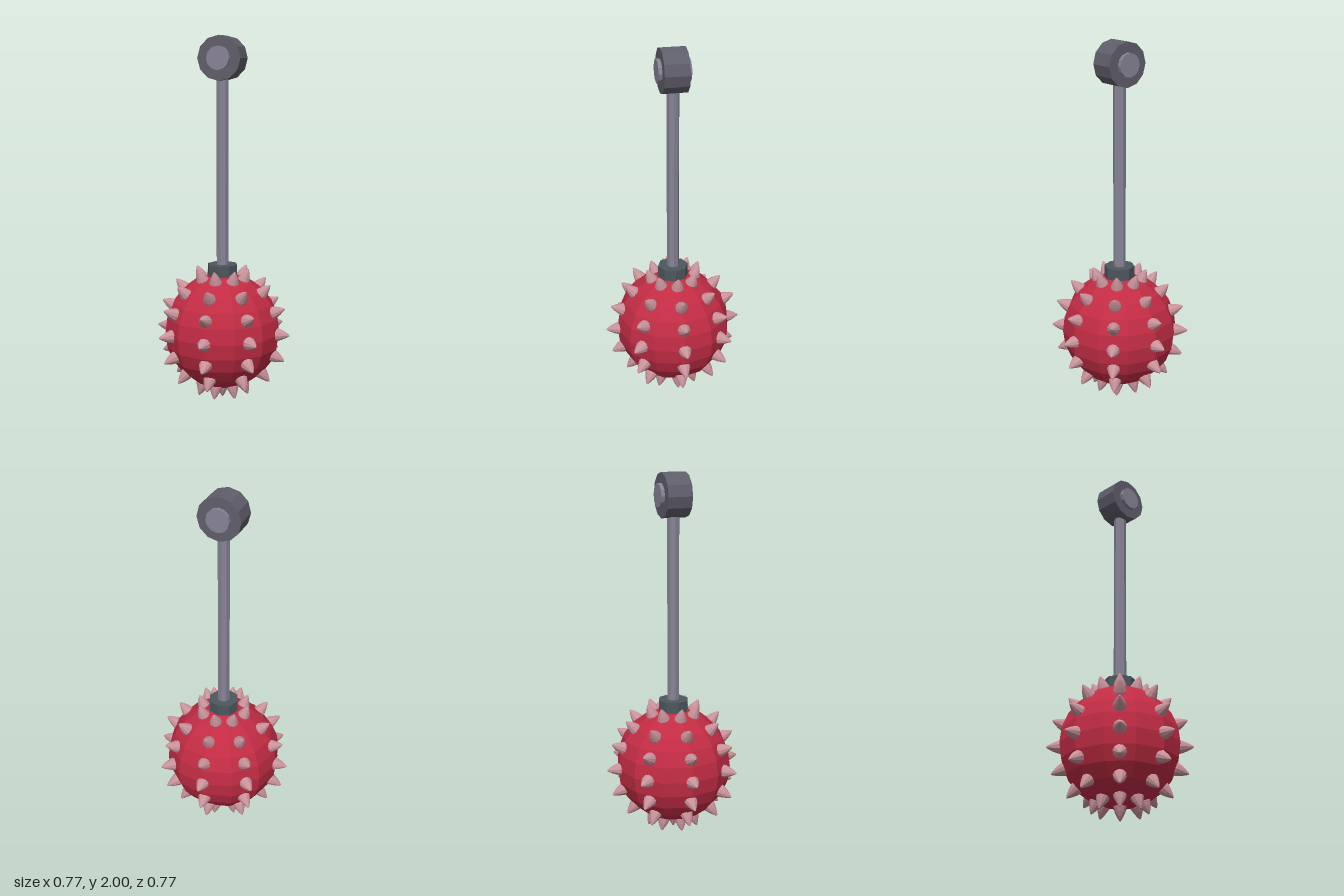
import * as THREE from 'three';

const mat = (name, color, flatShading = true) => {
  const m = new THREE.MeshStandardMaterial({ color, flatShading });
  m.name = name;
  return m;
};

export function createModel() {
  const model = new THREE.Group();
  model.name = 'spikedMace';
  const red = mat('crimson', 0xc22c44);
  const pink = mat('dustyPink', 0xc9929a);
  const iron = mat('darkIron', 0x5f5e6b);
  const steel = mat('paleSteel', 0x878395);
  const slate = mat('slate', 0x4d575d);

  const add = (name, geometry, material, y, parent = model) => {
    const mesh = new THREE.Mesh(geometry, material);
    mesh.name = name;
    mesh.position.y = y;
    parent.add(mesh);
    return mesh;
  };
  const drum = (r, h, sides) => new THREE.CylinderGeometry(r, r, h, sides);

  // Ball
  const centreY = 0.385;
  add('ball', new THREE.SphereGeometry(0.322, 12, 12), red, centreY);

  // Spikes: pointed bulging profile measured from the ball's centre
  const profile = [[0, 0.28], [0.03, 0.28], [0.037, 0.305], [0.034, 0.322],
    [0.025, 0.346], [0.014, 0.368], [0.004, 0.384], [0, 0.385]]
    .map(([r, y]) => new THREE.Vector2(r, y));
  const spikeGeometry = new THREE.LatheGeometry(profile, 10);
  const spikes = new THREE.Group();
  spikes.name = 'spikes';
  model.add(spikes);
  const up = new THREE.Vector3(0, 1, 0);
  const addSpike = (dir) => {
    add('spike', spikeGeometry, pink, centreY, spikes).quaternion.setFromUnitVectors(up, dir);
  };
  for (let ring = -3; ring <= 3; ring++) {
    const lat = ring * Math.PI / 8;
    for (let i = 0; i < 8; i++) {
      const a = i * Math.PI / 4;
      addSpike(new THREE.Vector3(Math.cos(lat) * Math.cos(a), Math.sin(lat), Math.cos(lat) * Math.sin(a)));
    }
  }
  addSpike(new THREE.Vector3(0, -1, 0));

  // Collar and shaft
  add('collar', drum(0.084, 0.09, 8), slate, 0.715);
  add('shaft', drum(0.034, 1.06, 8), steel, 1.27);

  // Pommel drum with a cap showing at each end
  add('pommel', drum(0.12, 0.134, 12), iron, 1.88).rotation.x = Math.PI / 2;
  add('pommelCaps', drum(0.064, 0.174, 12), steel, 1.88).rotation.x = Math.PI / 2;

  return model;
}
